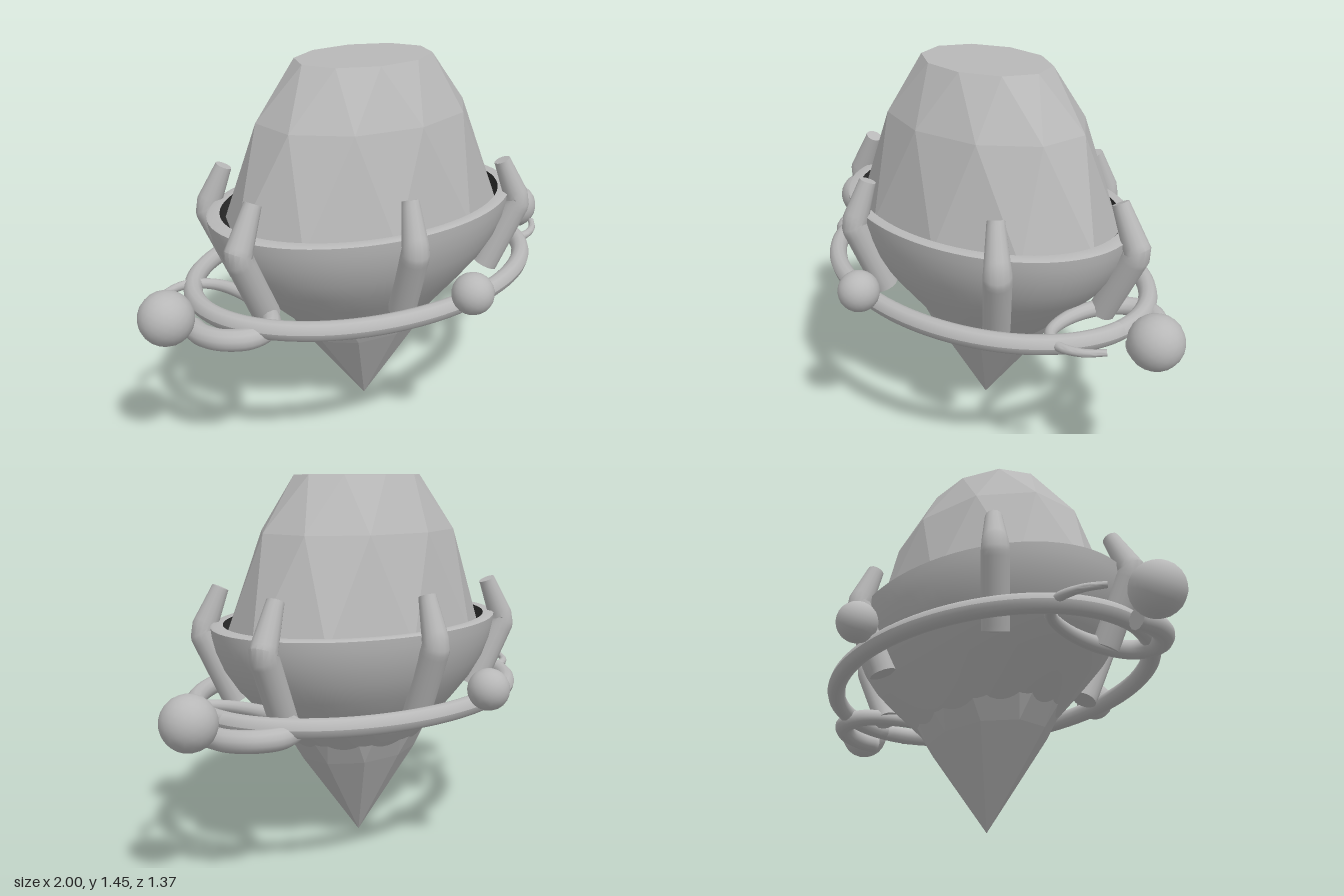
import * as THREE from 'three';
import { toCreasedNormals } from 'three/addons/utils/BufferGeometryUtils.js';

const OVAL = 0.725; // depth to width ratio of the setting

export function createModel() {
  const model = new THREE.Group();
  const grey = new THREE.MeshStandardMaterial({ color: 0xb8b8b8 });
  grey.name = 'grey';
  const facet = grey;
  const dark = new THREE.MeshStandardMaterial({ color: 0x2e2e2e });
  dark.name = 'dark recess';

  const add = (name, geometry, material = grey, parent = model) => {
    const mesh = new THREE.Mesh(geometry, material);
    mesh.name = name;
    parent.add(mesh);
    return mesh;
  };

  // Faceted oval gem: staggered ten-sided rings closed by a flat table and a point
  add('gem', gemGeometry(), facet);

  // Cup that holds the gem, with a dark inner wall
  const lathe = (points) => {
    const g = new THREE.LatheGeometry(points.map(([x, y]) => new THREE.Vector2(x, y)), 72);
    return g.scale(1, 1, OVAL);
  };
  const outer = [[0.2, 0.415], [0.285, 0.405], [0.32, 0.435], [0.39, 0.5], [0.47, 0.575],
    [0.55, 0.655], [0.605, 0.73], [0.64, 0.805], [0.655, 0.86], [0.66, 0.895], [0.65, 0.9], [0.607, 0.9]];
  add('cup', toCreasedNormals(lathe(outer), 0.7));
  add('cupInside', lathe([[0.607, 0.9], [0.605, 0.8], [0.55, 0.68], [0.4, 0.53]]), dark);

  // Six bent prongs around the cup
  for (let i = 0; i < 6; i++) {
    const a = Math.PI / 4 + (i * Math.PI) / 3;
    const at = (rx, rz, y) => new THREE.Vector3(rx * Math.cos(a), y, rz * Math.sin(a));
    const path = new THREE.CatmullRomCurve3(
      [at(0.57, 0.405, 0.59), at(0.705, 0.515, 0.86), at(0.62, 0.455, 1.03)], false, 'catmullrom', 0);
    add('prong', taperedTube(path, 26, 14, (t) => (t < 0.6 ? 0.052 : 0.052 - 0.05 * (t - 0.6))));
  }

  // Oval ring around the prongs
  const ring = new THREE.TorusGeometry(0.73, 0.036, 12, 96).rotateX(Math.PI / 2);
  const p = ring.attributes.position;
  for (let i = 0; i < p.count; i++) {
    // Squeeze the centre line only, so the tube stays round
    const r = Math.hypot(p.getX(i), p.getZ(i));
    const c = p.getX(i) / r, s = p.getZ(i) / r, w = r - 0.73;
    p.setXYZ(i, c * (0.73 + w), p.getY(i) + 0.615, s * (0.53 + w));
  }
  ring.computeVertexNormals();
  add('ring', ring);

  // Beads at the four ends of the ring
  const bead = (r, x, y, z) =>
    add('bead', new THREE.IcosahedronGeometry(r, 3).translate(x, y, z), facet);
  for (const s of [-1, 1]) {
    bead(0.1, s * 0.9, 0.645, 0);
    bead(0.078, 0, 0.685, s * 0.605);
  }

  // Curled scrolls under the side beads, half a turn apart
  const curl = new THREE.CatmullRomCurve3([
    [0.83, 0.635, 0.165], [0.77, 0.628, 0.22], [0.68, 0.622, 0.245], [0.59, 0.615, 0.2],
    [0.54, 0.608, 0.08], [0.54, 0.6, -0.08], [0.6, 0.593, -0.2], [0.69, 0.588, -0.225],
    [0.77, 0.583, -0.17], [0.805, 0.578, -0.08], [0.8, 0.575, 0.0],
  ].map((v) => new THREE.Vector3(...v)));
  for (const turn of [0, Math.PI]) {
    const g = taperedTube(curl, 60, 12, (t) => 0.012 + 0.028 * Math.min(1, t * 1.3));
    add('scroll', g).rotation.y = turn;
  }
  return model;
}

// Tube with a radius that follows a rule, closed by flat ends
function taperedTube(path, steps, sides, radius) {
  const g = new THREE.TubeGeometry(path, steps, 1, sides, false);
  const pos = g.attributes.position;
  const v = new THREE.Vector3();
  for (let i = 0; i <= steps; i++) {
    const old = path.getPointAt(i / steps);
    const t = Math.min(1, Math.max(0, (i - 1) / (steps - 2)));
    const centre = path.getPointAt(t);
    const r = i === 0 || i === steps ? 0 : radius(t);
    for (let j = 0; j <= sides; j++) {
      const k = i * (sides + 1) + j;
      v.fromBufferAttribute(pos, k).sub(old).multiplyScalar(r).add(centre);
      pos.setXYZ(k, v.x, v.y, v.z);
    }
  }
  return toCreasedNormals(g, 0.65);
}

// Gem built from rings, each turned half a step from the last
function gemGeometry() {
  const n = 10;
  const ring = (rx, rz, y, shift) => Array.from({ length: n + 1 }, (_, j) => {
    const a = ((j + shift) * 2 * Math.PI) / n;
    return [rx * Math.cos(a), y, rz * Math.sin(a)];
  });
  const rings = [
    ring(0.28, 0.2, 0.36, 0.5), ring(0.6, 0.425, 0.85, 0),
    ring(0.452, 0.33, 1.24, 0.5), ring(0.29, 0.21, 1.45, 0),
  ];
  const tris = [];
  for (let j = 0; j < n; j++) {
    tris.push([0, 0.005, 0], rings[0][j], rings[0][j + 1]);
    tris.push([0, 1.45, 0], rings[3][j + 1], rings[3][j]);
    for (let k = 0; k < 3; k++) {
      const l = rings[k], u = rings[k + 1];
      if (k === 1) tris.push(l[j], u[j], l[j + 1], l[j + 1], u[j], u[j + 1]);
      else tris.push(l[j], u[j], u[j + 1], l[j], u[j + 1], l[j + 1]);
    }
  }
  const g = new THREE.BufferGeometry();
  g.setAttribute('position', new THREE.Float32BufferAttribute(tris.flat(), 3));
  g.computeVertexNormals();
  return g;
}
